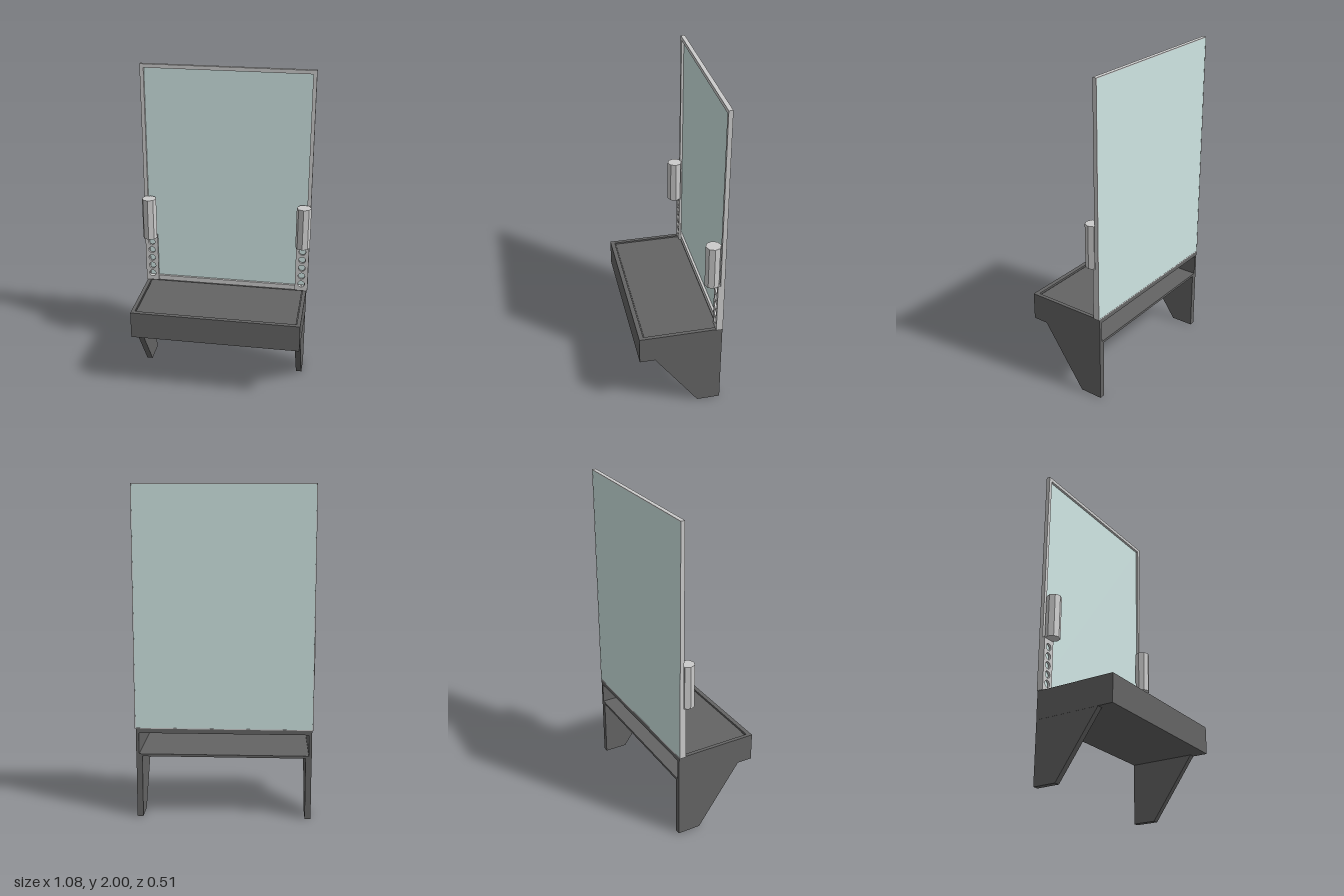
import * as THREE from 'three';

const grey = new THREE.MeshStandardMaterial({ color: 0xcccccc, flatShading: true });
const dark = new THREE.MeshStandardMaterial({ color: 0x646464, flatShading: true });
const glass = new THREE.MeshStandardMaterial({ color: 0xcfe5e3, flatShading: true });

const BACK = -0.254, FRONT = 0.254;

function rect(shape, x0, y0, x1, y1) {
  return shape.moveTo(x0, y0).lineTo(x1, y0).lineTo(x1, y1).lineTo(x0, y1).closePath();
}

function extrude(shape, depth) {
  return new THREE.ExtrudeGeometry(shape, { depth, bevelEnabled: false, curveSegments: 8 });
}

// Rectangular ring in the xy plane from z0 to z1
function ring(outer, inner, z0, z1) {
  const shape = rect(new THREE.Shape(), ...outer);
  shape.holes.push(rect(new THREE.Path(), ...inner));
  return extrude(shape, z1 - z0).translate(0, 0, z0);
}

// Box given by its two extreme corners
function box(x0, y0, z0, x1, y1, z1) {
  return new THREE.BoxGeometry(x1 - x0, y1 - y0, z1 - z0)
    .translate((x0 + x1) / 2, (y0 + y1) / 2, (z0 + z1) / 2);
}

export function createModel() {
  const model = new THREE.Group();
  const add = (parent, name, geometry, material) => {
    const mesh = new THREE.Mesh(geometry, material);
    mesh.name = name;
    parent.add(mesh);
    return mesh;
  };

  // Mirror: front flange, thin rear rim and the pane held between
  const mirror = new THREE.Group();
  mirror.name = 'mirror';
  model.add(mirror);
  const outer = [-0.535, 0.552, 0.535, 2];
  add(mirror, 'mirrorFrame', ring(outer, [-0.512, 0.58, 0.512, 1.977], -0.246, -0.229), grey);
  add(mirror, 'mirrorRim', ring(outer, [-0.53, 0.557, 0.53, 1.995], BACK, -0.246), grey);
  add(mirror, 'mirrorPane', box(-0.53, 0.557, -0.253, 0.53, 1.995, -0.244), glass);

  // Shelf: shell open at the back, with a shallow tray on top
  const shelf = new THREE.Group();
  shelf.name = 'shelf';
  model.add(shelf);
  add(shelf, 'shelfTop', box(-0.528, 0.525, BACK, 0.528, 0.54, FRONT), dark);
  add(shelf, 'shelfFloor', box(-0.528, 0.38, BACK, 0.528, 0.395, FRONT), dark);
  add(shelf, 'shelfFront', box(-0.528, 0.395, 0.235, 0.528, 0.525, FRONT), dark);
  add(shelf, 'trayLipFront', box(-0.528, 0.54, 0.227, 0.528, 0.552, FRONT), dark);
  add(shelf, 'trayLipBack', box(-0.505, 0.54, BACK, 0.505, 0.552, -0.229), dark);
  add(shelf, 'trayMat', box(-0.5, 0.54, -0.225, 0.5, 0.545, 0.22), dark);

  // Side bracket profile, drawn as (-z, y)
  const bracket = new THREE.Shape([
    [0.254, 0], [0.254, 0.38], [-0.16, 0.38], [0.11, 0],
  ].map(([a, y]) => new THREE.Vector2(a, y)));

  // Perforated speaker post
  const post = rect(new THREE.Shape(), 0.453, 0.552, 0.535, 0.88);
  for (let i = 0; i < 5; i++) {
    const hole = new THREE.Path();
    hole.absarc(0.494, 0.6 + i * 0.057, 0.022, 0, Math.PI * 2, true);
    post.holes.push(hole);
  }

  for (const [side, s] of [['left', 1], ['right', -1]]) {
    add(shelf, side + 'ShelfSide',
      box(s > 0 ? 0.51 : -0.528, 0.395, BACK, s > 0 ? 0.528 : -0.51, 0.525, 0.235), dark);
    add(shelf, side + 'TrayLip',
      box(s > 0 ? 0.505 : -0.528, 0.54, BACK, s > 0 ? 0.528 : -0.505, 0.552, 0.227), dark);
    add(model, side + 'Bracket',
      extrude(bracket, 0.036).rotateY(Math.PI / 2).translate(s > 0 ? 0.491 : -0.527, 0, 0), dark);
    add(model, side + 'PerforatedPost',
      extrude(post, 0.015).translate(s > 0 ? 0 : -0.988, 0, -0.229), grey);
    // Eight-sided lamp
    add(model, side + 'Lamp',
      new THREE.CylinderGeometry(0.046, 0.046, 0.27, 8).translate(s * 0.495, 1.01, -0.188), grey);
  }
  return model;
}
